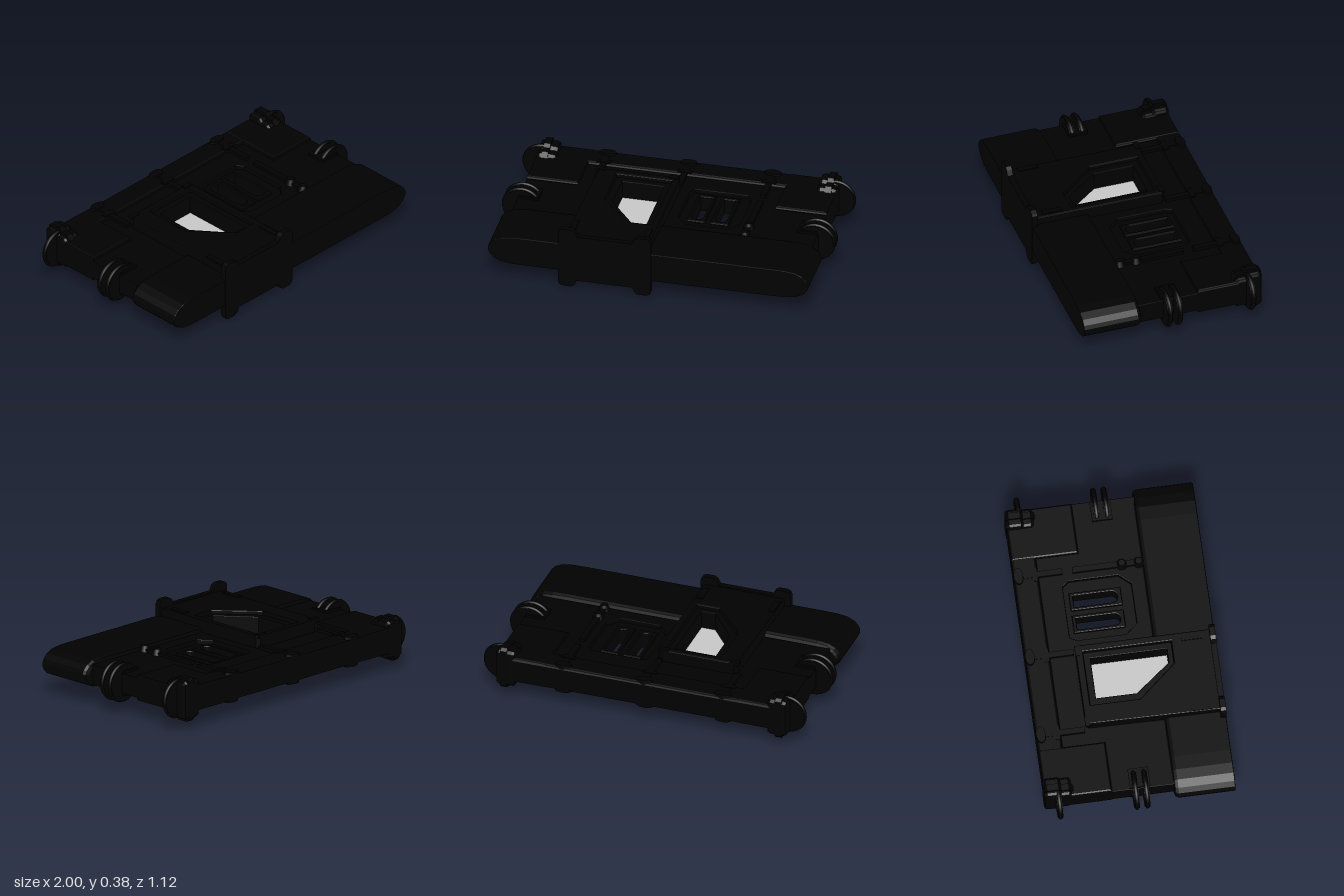
import * as THREE from 'three';

const MID = 0.19; // the panel is the same above and below this height

export function createModel() {
  const model = new THREE.Group();
  model.name = 'panel';
  const black = new THREE.MeshStandardMaterial({ color: 0x010101 });
  black.name = 'black';
  const glass = new THREE.MeshStandardMaterial({ color: 0xc8c8c8 });
  glass.name = 'pale glass';

  const add = (name, geometry, x = 0, y = MID, z = 0, material = black) => {
    const mesh = new THREE.Mesh(geometry, material);
    mesh.name = name;
    mesh.position.set(x, y, z);
    model.add(mesh);
    return mesh;
  };
  const box = (name, w, h, d, x, y, z) => add(name, new THREE.BoxGeometry(w, h, d), x, y, z);
  const extrude = (shape, length, bevel) => new THREE.ExtrudeGeometry(shape, {
    depth: length - 2 * bevel, bevelEnabled: bevel > 0, bevelThickness: bevel,
    bevelSize: bevel, bevelOffset: -bevel, bevelSegments: 2,
  }).translate(0, 0, bevel - length / 2);

  // Flat plate from an [x, z] outline, centred on the mid height; holes run the other way round
  const path = (pts) => pts.map(([x, z]) => new THREE.Vector2(x, -z));
  const rect = (x0, x1, z0, z1) => [[x0, z0], [x1, z0], [x1, z1], [x0, z1]];
  const plate = (name, pts, holes, half, bevel = 0, material = black) => {
    const shape = new THREE.Shape(path(pts));
    shape.holes = holes.map((h) => new THREE.Path(path(h).reverse()));
    return add(name, extrude(shape, 2 * half, bevel).rotateX(-Math.PI / 2), 0, MID, 0, material);
  };

  // Extrudes an upright profile along z, or along x when sideways
  const prism = (name, pts, length, x, z, sideways = false, bevel = 0) => {
    const geometry = extrude(new THREE.Shape(pts.map(([a, b]) => new THREE.Vector2(a, b))), length, bevel);
    if (sideways) geometry.rotateY(Math.PI / 2);
    return add(name, geometry, x, MID, z);
  };
  const mirrorY = (pts) => [...pts, ...pts.map(([a, b]) => [a, -b]).reverse()];

  const windowOutline = [[-0.33, -0.18], [-0.08, -0.18], [-0.08, 0.27], [-0.165, 0.27], [-0.33, 0.06]];
  const frameOutline = [[-0.375, -0.22], [-0.042, -0.22], [-0.042, 0.3], [-0.18, 0.3], [-0.375, 0.075]];

  // Thin rear slab, open under the window and around the slotted panel, with a thicker rear beam
  const recess = [[0.08, -0.28], [0.4, -0.28], [0.43, -0.24], [0.43, 0.05], [0.37, 0.12], [0.12, 0.12],
    [0.06, 0.05], [0.06, -0.24]];
  plate('rearSlab', rect(-0.9, 0.9, -0.5, 0.31), [windowOutline, recess], 0.062, 0.004);
  plate('rearBeam', [[-0.87, -0.557], [0.87, -0.557], [0.9, -0.53], [0.9, -0.41], [-0.9, -0.41], [-0.9, -0.53]],
    [], 0.078, 0.015);

  // Recessed panel with two round-ended slots
  const slot = (x) => {
    const pts = [[x - 0.035, -0.228], [x + 0.035, -0.228]];
    for (let i = 0; i <= 10; i++) {
      const a = (i / 10) * Math.PI;
      pts.push([x + 0.035 * Math.cos(a), -0.005 + 0.035 * Math.sin(a)]);
    }
    return pts;
  };
  plate('slottedPanel', rect(0.05, 0.44, -0.29, 0.13), [slot(0.165), slot(0.305)], 0.035);
  for (const x of [0.165, 0.305]) {
    plate('slotRim', rect(x - 0.055, x + 0.055, -0.25, 0.055), [slot(x)], 0.05, 0.006);
  }

  // Front slab with rounded side edges; its rear shoulders leave the window free
  const edge = mirrorY([[0.74, 0.09], [0.82, 0.088], [0.88, 0.08], [0.925, 0.06], [0.95, 0.033], [0.96, 0.01]]);
  prism('frontSlab', [...edge, ...edge.map(([x, y]) => [-x, -y])], 0.255, 0, 0.43, false, 0.004);
  for (const s of [-1, 1]) {
    const inner = s > 0 ? -0.02 : 0.45;
    const profile = [[inner, 0.09], ...edge, [inner, -0.09]].map(([x, y]) => [s * x, y]);
    prism('slabShoulder', profile, 0.2, 0, 0.3, false, 0.025);
  }

  // Raised window block and its inner frame
  plate('windowBlock', [[-0.49, -0.245], [-0.47, -0.262], [-0.02, -0.262], [0, -0.245], [0, 0.535], [-0.5, 0.535]],
    [frameOutline], 0.138, 0.006);
  plate('windowFrame', frameOutline, [windowOutline], 0.115, 0.004);
  plate('windowPane', windowOutline, [], 0.004, 0, glass);

  // Front flange with lobes above and below both ribs
  const flange = [[-0.538, -0.165], [-0.53, -0.182], [-0.51, -0.19], [-0.46, -0.19], [-0.44, -0.178], [-0.425, -0.147],
    [-0.095, -0.147], [-0.08, -0.178], [-0.06, -0.19], [-0.01, -0.19], [0.01, -0.182], [0.018, -0.165]];
  prism('frontFlange', mirrorY(flange), 0.034, 0, 0.543);

  // Ribs, clips and knobs, alike on top and bottom
  for (const s of [-1, 1]) {
    const y = (h) => MID + s * h;
    for (const x of [-0.475, -0.035]) {
      box('frontClip', 0.035, 0.012, 0.12, x, y(0.138), 0.42);
      box('rearClip', 0.06, 0.02, 0.03, x, y(0.134), -0.25);
    }
    for (const x of [-0.5, -0.015, 0.49]) {
      box('rearRib', 0.035, 0.03, 0.27, x, y(0.066), -0.405);
      box('rearBand', 0.085, 0.014, 0.03, x, y(0.077), -0.43);
      const knob = add('edgeKnob', new THREE.CylinderGeometry(0.05, 0.055, 0.03, 16), x, y(0.076), -0.527);
      knob.scale.z = 0.55;
      if (s < 0) knob.rotation.x = Math.PI;
    }
    box('sideRib', 0.035, 0.03, 0.42, 0.49, y(0.064), 0.0);
    for (const z of [0.08, 0.18]) {
      const pin = add('ribKnob', new THREE.CylinderGeometry(0.02, 0.036, 0.04, 16), 0.49, y(0.078), z);
      if (s < 0) pin.rotation.x = Math.PI;
    }
  }

  // Mirrored corner panels, corner blocks and hinge discs
  const blockProfile = mirrorY([[0.558, 0.115], [0.54, 0.132], [0.47, 0.132], [0.455, 0.11], [0.41, 0.11], [0.385, 0.08]]);
  for (const s of [-1, 1]) {
    const panel = [[0.59, -0.555], [0.87, -0.555], [0.9, -0.53], [0.9, -0.16], [0.59, -0.16]];
    plate('cornerPanel', panel.map(([x, z]) => [s * x, z]), [], 0.08, 0.012);
    prism('cornerBlock', blockProfile.map(([a, b]) => [a, b * 0.88]), 0.12, s * 0.84, 0, true, 0.02);
    prism('cornerBand', blockProfile, 0.04, s * 0.85, 0, true);
    box('hingeBlock', 0.12, 0.15, 0.12, s * 0.835, MID, 0.005);
    for (const z of [-0.475, -0.025, 0.037]) {
      const disc = add('hingeDisc', new THREE.CylinderGeometry(0.11, 0.11, 0.03, 32), s * 0.88, MID, z);
      disc.rotation.x = Math.PI / 2;
      add('discRim', new THREE.TorusGeometry(0.107, 0.013, 8, 32), s * 0.88, MID, z);
    }
  }
  return model;
}
